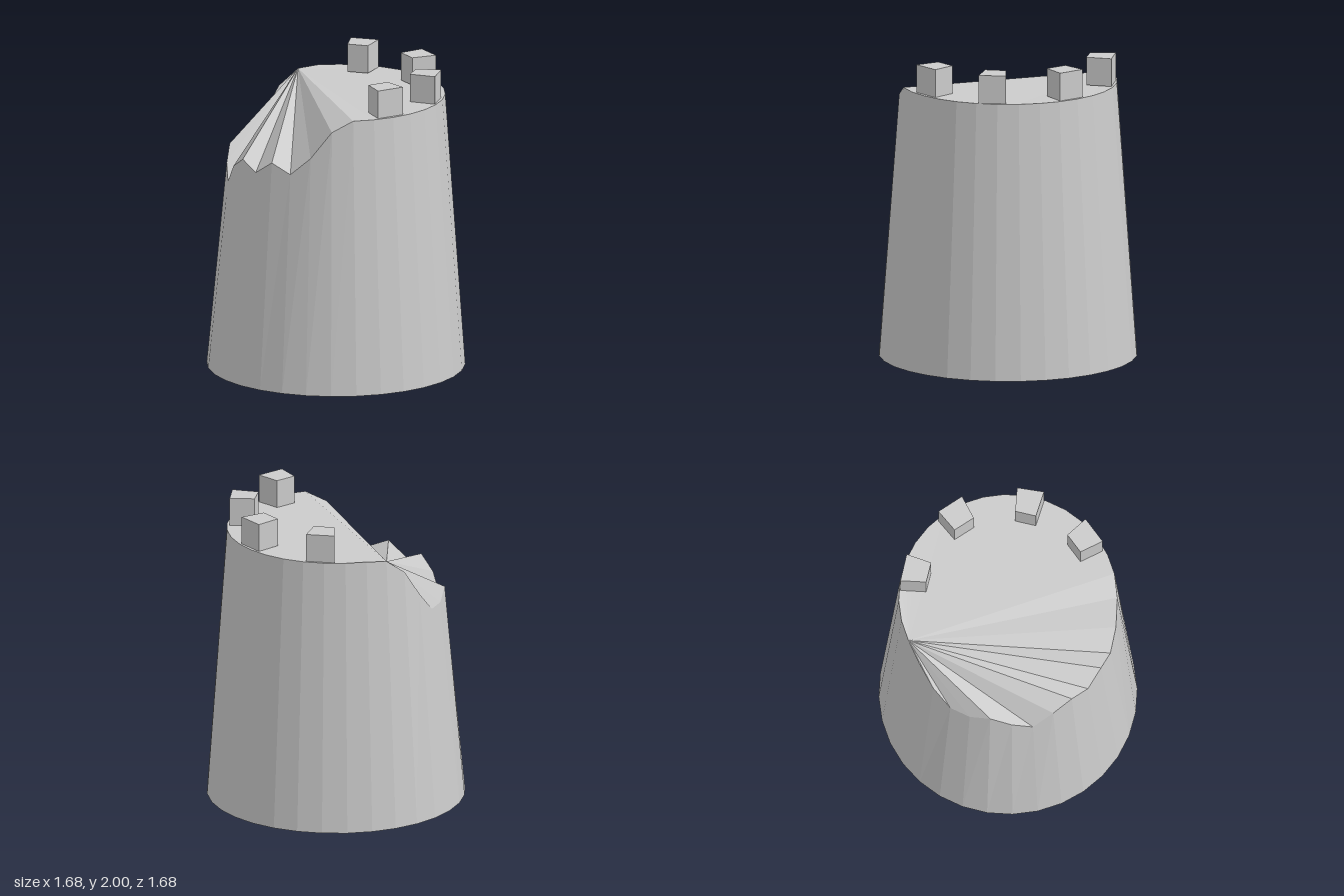
import * as THREE from 'three';

const SIDES = 32, BASE_R = 0.84, RIM_R = 0.71, TOP = 1.815, HEIGHT = 2;

// Heights of the crumbled part of the rim, starting at the back; the rest is level.
const BROKEN = [1.8, 1.7, 1.51, 1.37, 1.37, 1.43, 1.34, 1.25, 1.39, 1.47, 1.41, 1.5, 1.44, 1.56, 1.74];

// Corner points [x, z] of each block standing on the rim.
const BLOCKS = [
  [[-0.075, 0.525], [-0.1, 0.685], [0.09, 0.685], [0.07, 0.525]],
  [[0.295, 0.435], [0.4, 0.575], [0.525, 0.45], [0.4, 0.345]],
  [[0.52, 0.1], [0.685, 0.125], [0.69, -0.06], [0.525, -0.05]],
  [[0.43, -0.305], [0.57, -0.4], [0.445, -0.54], [0.34, -0.41]],
];

const stone = new THREE.MeshStandardMaterial({ color: 0xcccccc, flatShading: true });

function ringPoint(i, radius, y) {
  const a = ((i - 9) / SIDES) * Math.PI * 2;
  return new THREE.Vector3(-radius * Math.cos(a), y, radius * Math.sin(a));
}

// Tapered wall with a ragged rim, closed by a fan at the top and the bottom.
function towerGeometry() {
  const base = [], rim = [], points = [];
  for (let i = 0; i < SIDES; i++) {
    base.push(ringPoint(i, BASE_R, 0));
    rim.push(ringPoint(i, RIM_R, BROKEN[i] ?? TOP));
  }
  for (let i = 0; i < SIDES; i++) {
    const j = (i + 1) % SIDES;
    points.push(base[i], base[j], rim[j], base[i], rim[j], rim[i]);
    if (i > 0 && j > 0) {
      points.push(rim[0], rim[i], rim[j]);
      points.push(base[0], base[j], base[i]);
    }
  }
  const geometry = new THREE.BufferGeometry().setFromPoints(points);
  geometry.computeVertexNormals();
  return geometry;
}

// Upright block on a four-cornered footprint.
function blockGeometry(corners) {
  const shape = new THREE.Shape(corners.map(([x, z]) => new THREE.Vector2(x, -z)));
  const geometry = new THREE.ExtrudeGeometry(shape, { depth: HEIGHT - TOP, bevelEnabled: false });
  return geometry.rotateX(-Math.PI / 2).translate(0, TOP, 0);
}

export function createModel() {
  const model = new THREE.Group();
  model.name = 'ruinedTower';

  const tower = new THREE.Mesh(towerGeometry(), stone);
  tower.name = 'towerBody';
  model.add(tower);

  const battlements = new THREE.Group();
  battlements.name = 'battlements';
  BLOCKS.forEach((corners, i) => {
    const block = new THREE.Mesh(blockGeometry(corners), stone);
    block.name = `battlementBlock${i + 1}`;
    battlements.add(block);
  });
  model.add(battlements);

  return model;
}
